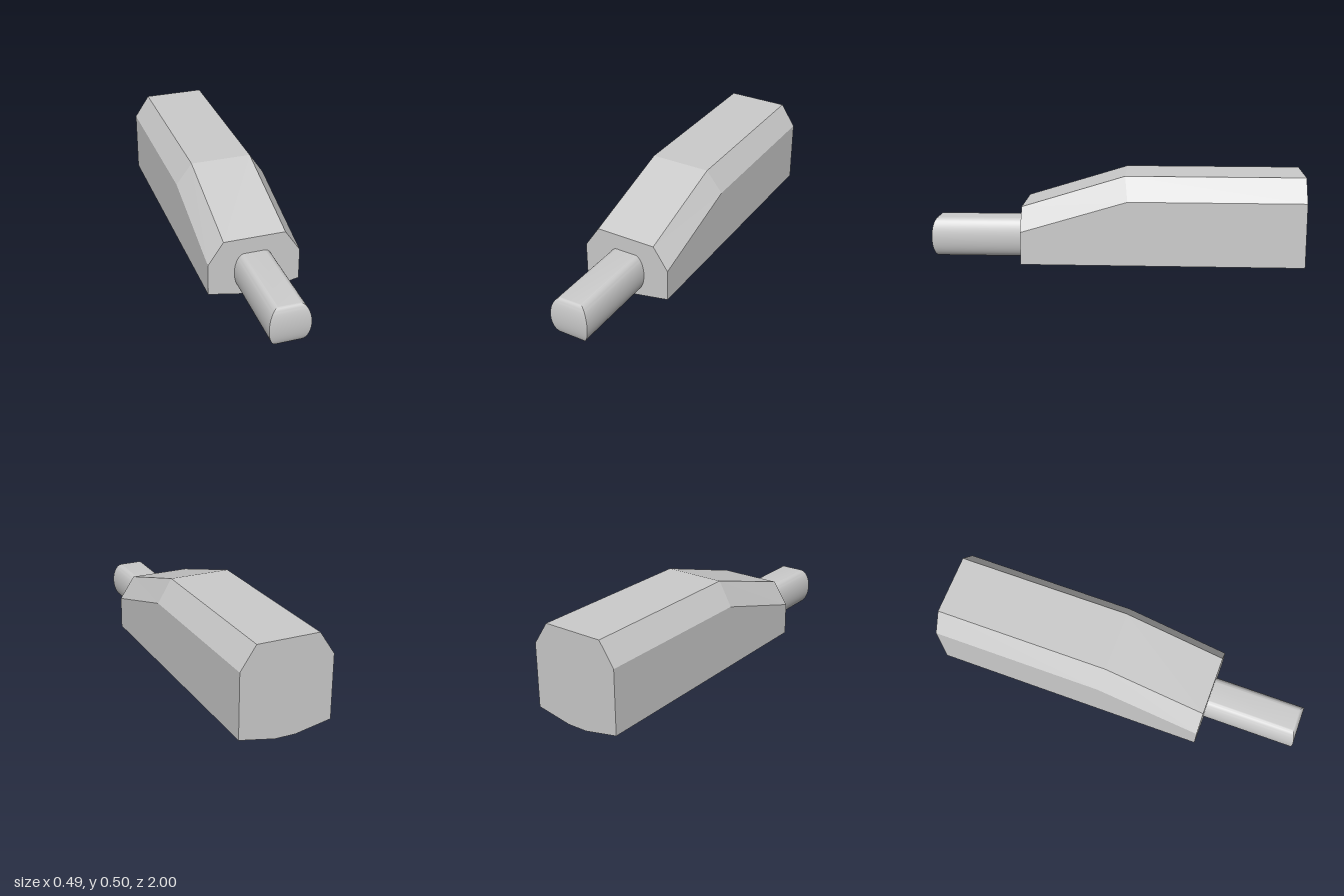
import * as THREE from 'three';
import { toCreasedNormals } from 'three/addons/utils/BufferGeometryUtils.js';

// Skins a stack of convex rings and caps both ends.
function loft(rings) {
  const n = rings[0].length, index = [];
  for (let r = 0; r < rings.length - 1; r++) {
    for (let k = 0; k < n; k++) {
      const a = r * n + k, b = r * n + (k + 1) % n;
      index.push(a, b, b + n, a, b + n, a + n);
    }
  }
  const last = (rings.length - 1) * n;
  for (let k = 1; k < n - 1; k++) {
    index.push(0, k + 1, k, last, last + k, last + k + 1);
  }
  const geometry = new THREE.BufferGeometry();
  geometry.setAttribute('position', new THREE.Float32BufferAttribute(rings.flat(2), 3));
  geometry.setIndex(index);
  return geometry;
}

// Faceted housing section; the roof and shoulders can sit lower and at their own z.
function housingRing(z, drop = 0, shoulderZ = z) {
  const right = [
    [0.055, 0, z], [0.247, 0.037, z],
    [0.247, 0.38 - drop, shoulderZ], [0.165, 0.502 - drop, z],
  ];
  const left = right.map(([x, y, pz]) => [-x, y, pz]).reverse();
  return [...right, ...left];
}

function createHousing() {
  const rings = [housingRing(-1), housingRing(-0.055, 0, -0.07), housingRing(0.495, 0.169)];
  const geometry = loft(rings).toNonIndexed();
  geometry.computeVertexNormals();
  const mesh = new THREE.Mesh(geometry, new THREE.MeshStandardMaterial({ color: 0xcccccc, flatShading: true }));
  mesh.name = 'housing';
  return mesh;
}

// Plug: horizontal slices with bulging sides and a rounded front end.
function createPlug() {
  const rings = [], steps = 28;
  for (let i = 0; i <= steps; i++) {
    const angle = Math.PI * (i / steps - 0.5);
    const bulge = i === 0 || i === steps ? 0 : Math.cos(angle);
    const y = 0.1395 + 0.1065 * Math.sin(angle);
    const w = 0.055 + 0.052 * bulge;
    const front = 0.97 + 0.03 * bulge;
    rings.push([[-w, y, front], [w, y, front], [w, y, 0.45], [-w, y, 0.45]]);
  }
  const geometry = toCreasedNormals(loft(rings), 0.6);
  const mesh = new THREE.Mesh(geometry, new THREE.MeshStandardMaterial({ color: 0xcccccc }));
  mesh.name = 'plug';
  return mesh;
}

export function createModel() {
  const model = new THREE.Group();
  model.name = 'connector';
  model.add(createHousing(), createPlug());
  return model;
}
